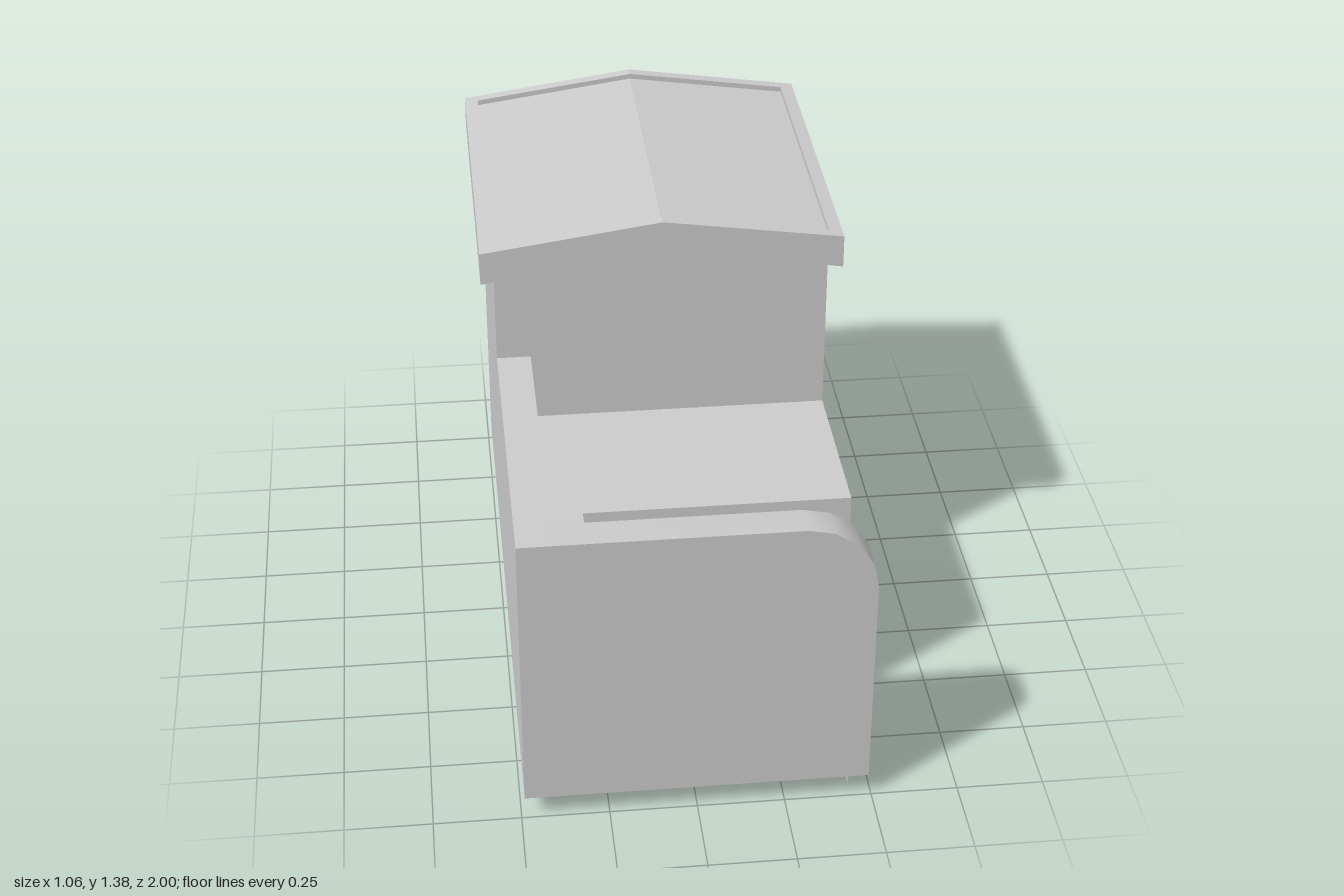
import * as THREE from 'three';
import { toCreasedNormals } from 'three/addons/utils/BufferGeometryUtils.js';

export function createModel() {
  const model = new THREE.Group();
  const material = new THREE.MeshStandardMaterial({ color: 0xcccccc, side: THREE.DoubleSide });

  const add = (name, geometry) => {
    const mesh = new THREE.Mesh(geometry, material);
    mesh.name = name;
    model.add(mesh);
  };
  const shapeOf = (pts) => new THREE.Shape(pts.map(([x, y]) => new THREE.Vector2(x, y)));

  // Flat wall in the xy plane at depth z
  const panel = (name, pts, z) => add(name, new THREE.ShapeGeometry(shapeOf(pts)).translate(0, 0, z));

  // Solid with an xy outline between two depths
  const prism = (name, pts, z0, z1) => add(name,
    new THREE.ExtrudeGeometry(shapeOf(pts), { depth: z1 - z0, bevelEnabled: false }).translate(0, 0, z0));

  // Thin surface: an xy path swept along z (a path going +x faces up)
  const ribbon = (name, path, z0, z1) => {
    const pos = [], index = [];
    path.forEach(([x, y], i) => {
      pos.push(x, y, z0, x, y, z1);
      if (i) {
        const a = 2 * i - 2;
        index.push(a, a + 1, a + 3, a, a + 3, a + 2);
      }
    });
    const g = new THREE.BufferGeometry();
    g.setAttribute('position', new THREE.Float32BufferAttribute(pos, 3));
    g.setIndex(index);
    add(name, toCreasedNormals(g, 0.6));
  };

  const W = 0.49, base = 0.07, deck = 0.72, wallTop = 0.93;
  const back = -0.96, houseFront = 0.02, deckFront = 0.55, wallBack = 0.9, front = 1;
  const roofTop = (x) => 1.375 - 0.1425 * Math.abs(x);
  const roofUnder = (x) => 1.285 - 0.16 * Math.abs(x);

  // House shell, open underneath
  const eave = roofUnder(W);
  const gable = (y) => [[-W, y], [W, y], [W, eave], [0, 1.285], [-W, eave]];
  panel('houseBackWall', gable(base), back);
  panel('houseFrontWall', gable(deck), houseFront);
  ribbon('houseLeftWall', [[W, eave], [W, base]], back, houseFront);
  ribbon('houseRightWall', [[-W, base], [-W, eave]], back, houseFront);

  // Terrace with side parapet
  ribbon('terraceFloor', [[-0.39, deck], [W, deck]], houseFront, deckFront);
  ribbon('stairLanding', [[-0.39, deck], [-0.28, deck]], deckFront, wallBack);
  ribbon('terraceLeftWall', [[W, deck], [W, base]], houseFront, deckFront);
  ribbon('terraceRightWall', [[-W, base], [-W, wallTop]], houseFront, front);
  ribbon('parapet', [[-W, wallTop], [-0.39, wallTop], [-0.39, deck]], houseFront, wallBack);

  // Front wall with a rounded upper corner
  const arc = [];
  for (let i = 0; i <= 4; i++) {
    const a = (i / 4) * Math.PI / 2;
    arc.push([0.29 + 0.2 * Math.sin(a), 0.73 + 0.2 * Math.cos(a)]);
  }
  panel('frontWallOuter', [[-W, base], [-W, wallTop], ...arc, [W, base]], front);
  ribbon('frontWallEdge', [[-W, wallTop], ...arc, [W, base]], wallBack, front);

  // Stairwell sides and sloping underside
  const under = [[W, base], [0.25, base], [-0.28, 0.34], [-0.28, deck]];
  panel('frontWallInner', [...under, [-0.39, deck], [-0.39, wallTop], ...arc], wallBack);
  panel('stairSideWall', [...under, [W, deck]], deckFront);
  ribbon('stairUnderside', under.slice(1), deckFront, wallBack);

  // Steps, tucked slightly into the walls on both sides
  const edges = [-0.28, -0.21, -0.12, -0.03, 0.07, 0.165, 0.25, 0.35, 0.44];
  const heights = [deck, 0.65, 0.59, 0.53, 0.475, 0.39, 0.3, 0.225, 0.15, 0];
  const steps = [];
  edges.forEach((x, i) => steps.push([x, heights[i]], [x, heights[i + 1]]));
  ribbon('steps', steps, 0.5, 0.95);

  // Roof: recessed panel inside a raised rim
  const roofPart = (xs, drop) => [
    ...xs.map((x) => [x, roofUnder(x)]),
    ...[...xs].reverse().map((x) => [x, roofTop(x) - drop]),
  ];
  const R = 0.53, zBack = -1, zFront = 0.055, rim = 0.035;
  prism('roofPanel', roofPart([-W, 0, W], 0.016), zBack + rim, zFront - rim);
  prism('roofRimBack', roofPart([-R, 0, R], 0), zBack, zBack + rim);
  prism('roofRimFront', roofPart([-R, 0, R], 0), zFront - rim, zFront);
  prism('roofRimLeft', roofPart([W, R], 0), zBack + rim, zFront - rim);
  prism('roofRimRight', roofPart([-R, -W], 0), zBack + rim, zFront - rim);

  return model;
}
